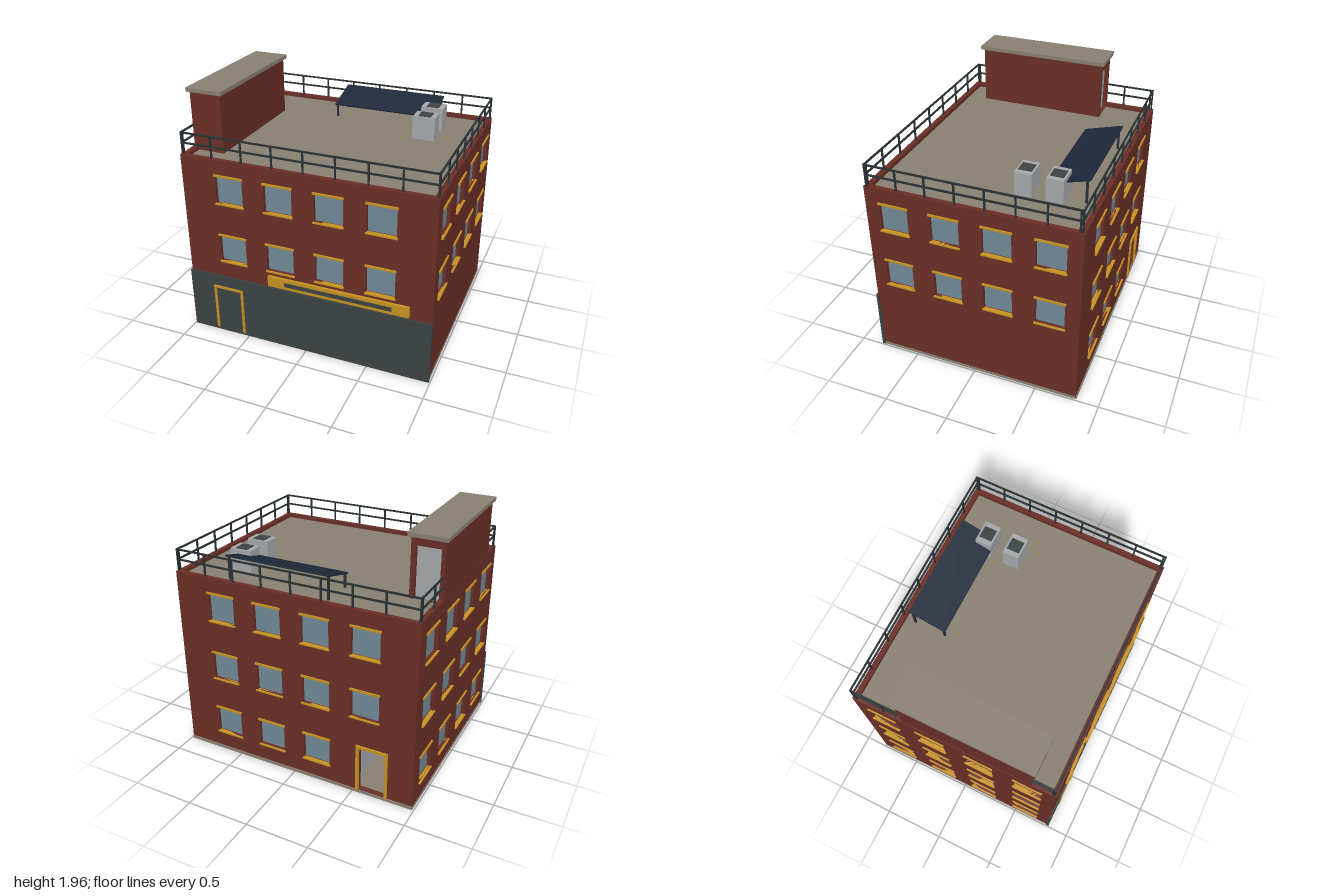
import * as THREE from 'three';

const mat = (name, color) => {
  const m = new THREE.MeshStandardMaterial({ color });
  m.name = name;
  return m;
};

export function createModel() {
  const brick = mat('brick red', 0x692e26);
  const stone = mat('beige concrete', 0x888071);
  const gold = mat('gold trim', 0xc69222);
  const glass = mat('window glass', 0x708996);
  const dark = mat('dark cladding', 0x3c4343);
  const steel = mat('railing steel', 0x293134);
  const navy = mat('solar navy', 0x1e2839);
  const grey = mat('light grey', 0xa5a7a9);

  const model = new THREE.Group();
  model.name = 'building';
  const ZC = -0.005, HX = 0.985, HZ = 0.815, TOP = 1.505, ROOF = 1.475, T = 0.04;

  const add = (parent, name, geo, material) => {
    const m = new THREE.Mesh(geo, material);
    m.name = name;
    parent.add(m);
    return m;
  };
  // box given by its min and max on each axis
  const box = (parent, name, material, x0, x1, y0, y1, z0, z1) => {
    const m = add(parent, name, new THREE.BoxGeometry(x1 - x0, y1 - y0, z1 - z0), material);
    m.position.set((x0 + x1) / 2, (y0 + y1) / 2, (z0 + z1) / 2);
    return m;
  };
  const rect = (C, x0, x1, y0, y1) => {
    const p = new C();
    p.moveTo(x0, y0);
    p.lineTo(x1, y0);
    p.lineTo(x1, y1);
    p.lineTo(x0, y1);
    p.closePath();
    return p;
  };
  const extrude = (shape, depth) => new THREE.ExtrudeGeometry(shape, { depth, bevelEnabled: false });

  // gold door surround, local z = 0 is the wall face
  const doorFrame = (parent, x, z0, z1) => {
    box(parent, 'doorFramePost', gold, x - 0.127, x - 0.107, 0.025, 0.425, z0, z1);
    box(parent, 'doorFramePost', gold, x + 0.107, x + 0.127, 0.025, 0.425, z0, z1);
    box(parent, 'doorFrameHead', gold, x - 0.107, x + 0.107, 0.405, 0.425, z0, z1);
  };

  // ---- walls with recessed windows; local +z points outward ----
  const columns = [-0.593, -0.197, 0.197, 0.593];
  const sills = [0.167, 0.662, 1.158];
  const W = 0.11, H = 0.222;
  const makeWall = (name, half, dist, angle, hasWindow, doorX) => {
    const g = new THREE.Group();
    g.name = name;
    g.rotation.y = angle;
    g.position.set(Math.sin(angle) * dist, 0, ZC + Math.cos(angle) * dist);
    model.add(g);
    const shape = rect(THREE.Shape, -half, half, 0.025, TOP);
    sills.forEach((y, row) => columns.forEach((x, col) => {
      if (!hasWindow(row, col)) return;
      shape.holes.push(rect(THREE.Path, x - W, x + W, y, y + H));
      box(g, 'windowPane', glass, x - W, x + W, y, y + H, -0.034, -0.026);
      box(g, 'windowLintel', gold, x - 0.118, x + 0.118, y + H - 0.004, y + H + 0.012, -0.02, 0.011);
      box(g, 'windowSill', gold, x - 0.118, x + 0.118, y - 0.01, y, -0.02, 0.015);
    }));
    if (doorX !== undefined) {
      shape.holes.push(rect(THREE.Path, doorX - 0.107, doorX + 0.107, 0.03, 0.405));
      doorFrame(g, doorX, -0.01, 0.015);
    }
    add(g, name + 'Brick', extrude(shape, T), brick).position.z = -T;
    return g;
  };
  makeWall('frontWall', HX, HZ, 0, row => row > 0);
  makeWall('rightSideWall', HZ - T, HX, Math.PI / 2, row => row > 0);
  makeWall('leftSideWall', HZ - T, HX, -Math.PI / 2, () => true);
  const back = makeWall('backWall', HX, HZ, Math.PI, (row, col) => row > 0 || col < 3, 0.657);

  // entrance hall behind the open back door
  box(back, 'hallSide', grey, 0.49, 0.5, 0.025, 0.45, -0.45, -T);
  box(back, 'hallSide', grey, 0.86, 0.87, 0.025, 0.45, -0.45, -T);
  box(back, 'hallEnd', grey, 0.49, 0.87, 0.025, 0.45, -0.46, -0.45);
  box(back, 'hallCeiling', grey, 0.49, 0.87, 0.45, 0.46, -0.46, -T);

  // ---- floor slab and roof deck ----
  box(model, 'baseSlab', stone, -0.987, 0.987, 0, 0.025, -0.826, 0.812);
  box(model, 'roofDeck', stone, -HX + T, HX - T, ROOF - 0.03, ROOF, ZC - HZ + T, ZC + HZ - T);

  // ---- shop front cladding, door and sign ----
  box(model, 'shopFront', dark, -0.992, 0.992, 0, 0.517, 0.8, 0.824);
  doorFrame(model, -0.657, 0.82, 0.832);
  box(model, 'signBoard', gold, -0.3, 0.82, 0.535, 0.622, 0.805, 0.832);
  box(model, 'signPanel', dark, -0.16, 0.69, 0.563, 0.595, 0.83, 0.838);

  // ---- stair house on the roof ----
  const stair = new THREE.Group();
  stair.name = 'stairHouse';
  model.add(stair);
  box(stair, 'stairHouseBody', brick, -0.981, -0.73, 1.46, 1.932, -0.375, 0.617);
  const face = rect(THREE.Shape, -0.981, -0.73, 1.46, 1.932);
  face.holes.push(rect(THREE.Path, -0.95, -0.765, ROOF, 1.87));
  add(stair, 'stairHouseDoorWall', extrude(face, 0.04), brick).position.z = -0.415;
  box(stair, 'stairHouseDoor', grey, -0.95, -0.765, ROOF, 1.87, -0.383, -0.375);
  box(stair, 'stairHouseCap', stone, -1, -0.708, 1.932, 1.963, -0.438, 0.64);

  // ---- railing ----
  const rail = new THREE.Group();
  rail.name = 'railing';
  model.add(rail);
  const RX = 0.972, RZ = 0.797, R = 0.006;
  const post = (x, z) => box(rail, 'railPost', steel, x - R, x + R, TOP - 0.01, 1.672, z - R, z + R);
  const heights = [1.595, 1.674];
  for (const s of [-1, 1]) {
    const z = ZC + s * RZ;
    for (const y of heights) box(rail, 'railBar', steel, -RX - R, RX + R, y - R, y + R, z - R, z + R);
    for (let i = 0; i <= 8; i++) post(-RX + i * RX / 4, z);
  }
  const sideRail = (x, z0, z1) => {
    for (const y of heights) box(rail, 'railBar', steel, x - R, x + R, y - R, y + R, z0, z1);
    for (let i = 0; i <= 7; i++) {
      const z = 0.777 - i * 0.2232;
      if (z > z0 && z < z1) post(x, z);
    }
  };
  sideRail(RX, ZC - RZ, ZC + RZ);
  sideRail(-RX, ZC - RZ, -0.415);
  sideRail(-RX, 0.617, ZC + RZ);

  // ---- tilted solar panel on legs ----
  const solar = new THREE.Group();
  solar.name = 'solarPanel';
  model.add(solar);
  const tilt = Math.atan2(0.083, 0.295);
  const panel = add(solar, 'solarSheet', new THREE.BoxGeometry(0.855, 0.012, 0.306), navy);
  panel.position.set(0.163, 1.624, -0.583);
  panel.rotation.x = tilt;
  for (const x of [-0.25, 0.575]) {
    box(solar, 'solarLeg', steel, x - 0.008, x + 0.008, ROOF, 1.664, -0.713, -0.697);
    box(solar, 'solarLeg', steel, x - 0.008, x + 0.008, ROOF, 1.588, -0.463, -0.447);
  }

  // ---- air conditioning units ----
  for (const z of [-0.5, -0.268]) {
    const unit = new THREE.Group();
    unit.name = 'coolingUnit';
    unit.position.z = z;
    model.add(unit);
    box(unit, 'coolingUnitCase', grey, 0.482, 0.66, ROOF, 1.66, -0.065, 0.065);
    box(unit, 'coolingUnitGrille', dark, 0.522, 0.62, 1.659, 1.665, -0.05, 0.05);
  }

  return model;
}
